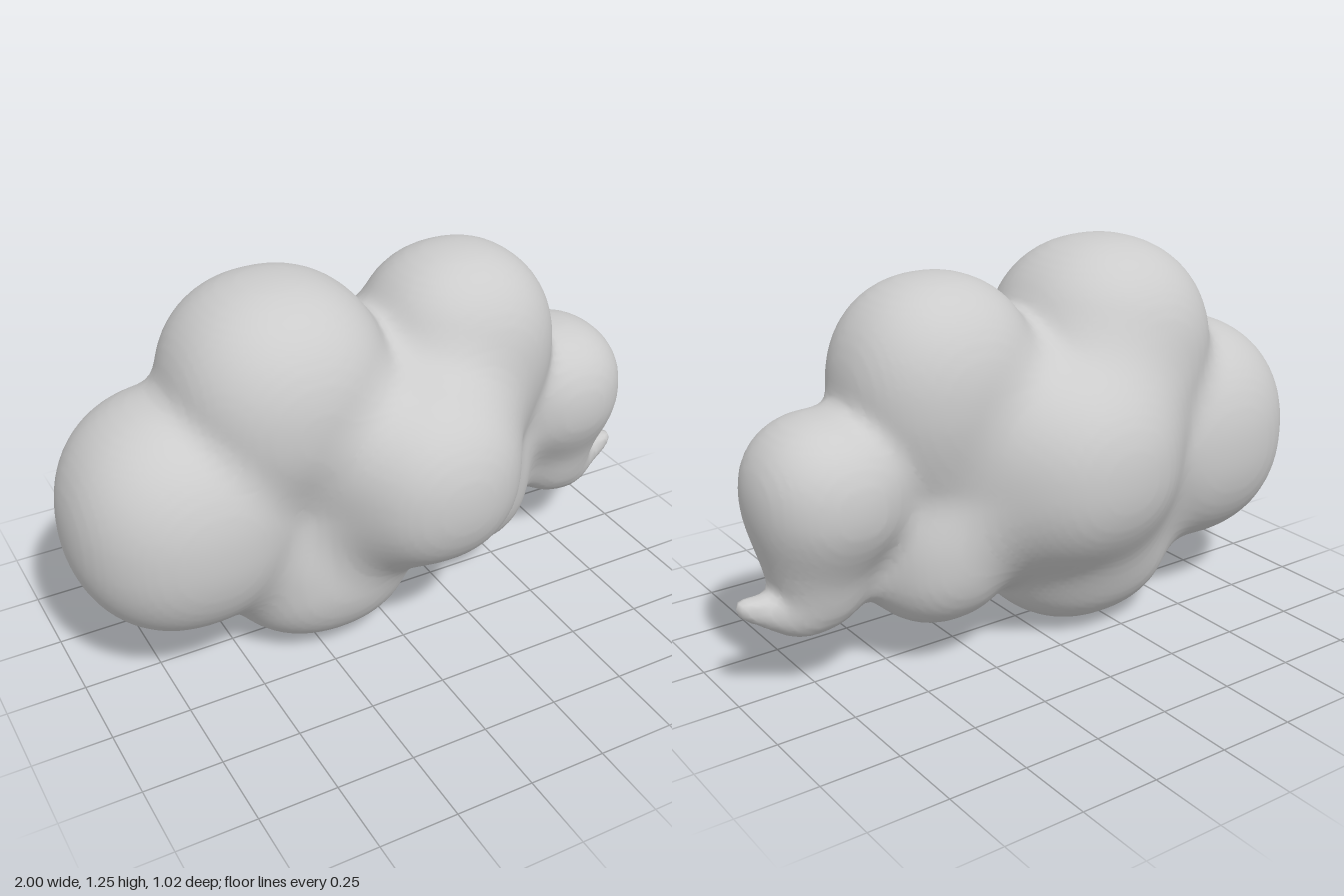
import * as THREE from 'three';

// Puffs of the cloud: centre, radii, blend width with the puffs before it
const puffs = [
  { c: [0.0, 0.62, -0.02], r: [0.6, 0.38, 0.3], k: 0.08 },      // core
  { c: [-0.63, 0.56, -0.03], r: [0.37, 0.38, 0.35], k: 0.07 },  // left end
  { c: [-0.31, 0.89, -0.02], r: [0.35, 0.36, 0.345], k: 0.06 }, // upper left
  { c: [0.32, 0.88, -0.025], r: [0.315, 0.335, 0.295], k: 0.07 }, // upper right
  { c: [-0.2, 0.3, -0.025], r: [0.34, 0.3, 0.31], k: 0.09 },    // lower left
  { c: [0.34, 0.38, -0.03], r: [0.25, 0.25, 0.25], k: 0.08 },   // lower right
  { c: [0.07, 0.63, 0.2], r: [0.31, 0.31, 0.31], k: 0.14 },     // front
  { c: [-0.07, 0.62, -0.2], r: [0.34, 0.33, 0.31], k: 0.14 },   // back
  { c: [0.7, 0.63, -0.03], r: [0.24, 0.235, 0.24], k: 0.06 },   // right end
  { c: [0.74, 0.37, -0.03], r: [0.14, 0.17, 0.13], k: 0.12 },   // right end, underside
];
// Little tapering wisp at the lower right
for (let i = 0; i <= 8; i++) {
  const t = i / 8, r = 0.085 - 0.065 * Math.sqrt(t);
  puffs.push({ c: [0.8 + 0.18 * t, 0.285 + 0.045 * t * t, -0.03], r: [r, r, r], k: 0.035 });
}

const POWER = 2.2; // slightly fuller than an ellipsoid

function field(x, y, z) {
  let d = 10;
  for (const { c, r, k } of puffs) {
    const q = Math.pow(Math.abs(x - c[0]) / r[0], POWER)
      + Math.pow(Math.abs(y - c[1]) / r[1], POWER)
      + Math.pow(Math.abs(z - c[2]) / r[2], POWER);
    const e = (Math.pow(q, 1 / POWER) - 1) * Math.min(r[0], r[1], r[2]);
    const h = Math.max(k - Math.abs(d - e), 0) / k;
    d = Math.min(d, e) - h * h * k * 0.25;
  }
  return d;
}

// Skin the field: one vertex per boundary cell, one quad per crossed grid edge
function skinGeometry(min, max, step) {
  const n = min.map((m, i) => Math.ceil((max[i] - m) / step) + 1);
  const stride = [1, n[0], n[0] * n[1]];
  const values = new Float32Array(n[0] * n[1] * n[2]);
  const at = (i, j, k) => i + j * stride[1] + k * stride[2];
  for (let k = 0; k < n[2]; k++)
    for (let j = 0; j < n[1]; j++)
      for (let i = 0; i < n[0]; i++)
        values[at(i, j, k)] = field(min[0] + i * step, min[1] + j * step, min[2] + k * step);

  const positions = [], indices = [];
  const cellVertex = new Int32Array(values.length).fill(-1);
  for (let k = 0; k < n[2] - 1; k++)
    for (let j = 0; j < n[1] - 1; j++)
      for (let i = 0; i < n[0] - 1; i++) {
        const sum = [0, 0, 0];
        let count = 0;
        const base = at(i, j, k);
        for (let corner = 0; corner < 8; corner++)
          for (let axis = 0; axis < 3; axis++) {
            if (corner & (1 << axis)) continue;
            const o = [corner & 1, (corner >> 1) & 1, corner >> 2];
            const ia = base + at(o[0], o[1], o[2]);
            const a = values[ia], b = values[ia + stride[axis]];
            if (a < 0 === b < 0) continue;
            o[axis] += a / (a - b);
            o.forEach((v, m) => { sum[m] += v; });
            count++;
          }
        if (!count) continue;
        cellVertex[base] = positions.length / 3;
        positions.push(...[i, j, k].map((v, m) => min[m] + (v + sum[m] / count) * step));
      }

  for (let k = 1; k < n[2] - 1; k++)
    for (let j = 1; j < n[1] - 1; j++)
      for (let i = 1; i < n[0] - 1; i++) {
        const p = at(i, j, k);
        for (let axis = 0; axis < 3; axis++) {
          const inside = values[p] < 0;
          if (inside === values[p + stride[axis]] < 0) continue;
          const u = stride[(axis + 1) % 3], v = stride[(axis + 2) % 3];
          const [a, b, c, d] = [p - u - v, p - v, p, p - u].map((q) => cellVertex[q]);
          if (inside) indices.push(a, b, c, a, c, d);
          else indices.push(a, c, b, a, d, c);
        }
      }

  const geometry = new THREE.BufferGeometry();
  geometry.setAttribute('position', new THREE.Float32BufferAttribute(positions, 3));
  geometry.setIndex(indices);
  geometry.computeVertexNormals();
  return geometry;
}

export function createModel() {
  const group = new THREE.Group();
  group.name = 'cloud';
  const geometry = skinGeometry([-1.06, -0.06, -0.6], [1.06, 1.32, 0.6], 0.02);
  const body = new THREE.Mesh(geometry, new THREE.MeshStandardMaterial({ color: 0xcccccc }));
  body.name = 'cloudBody';
  group.add(body);
  return group;
}
